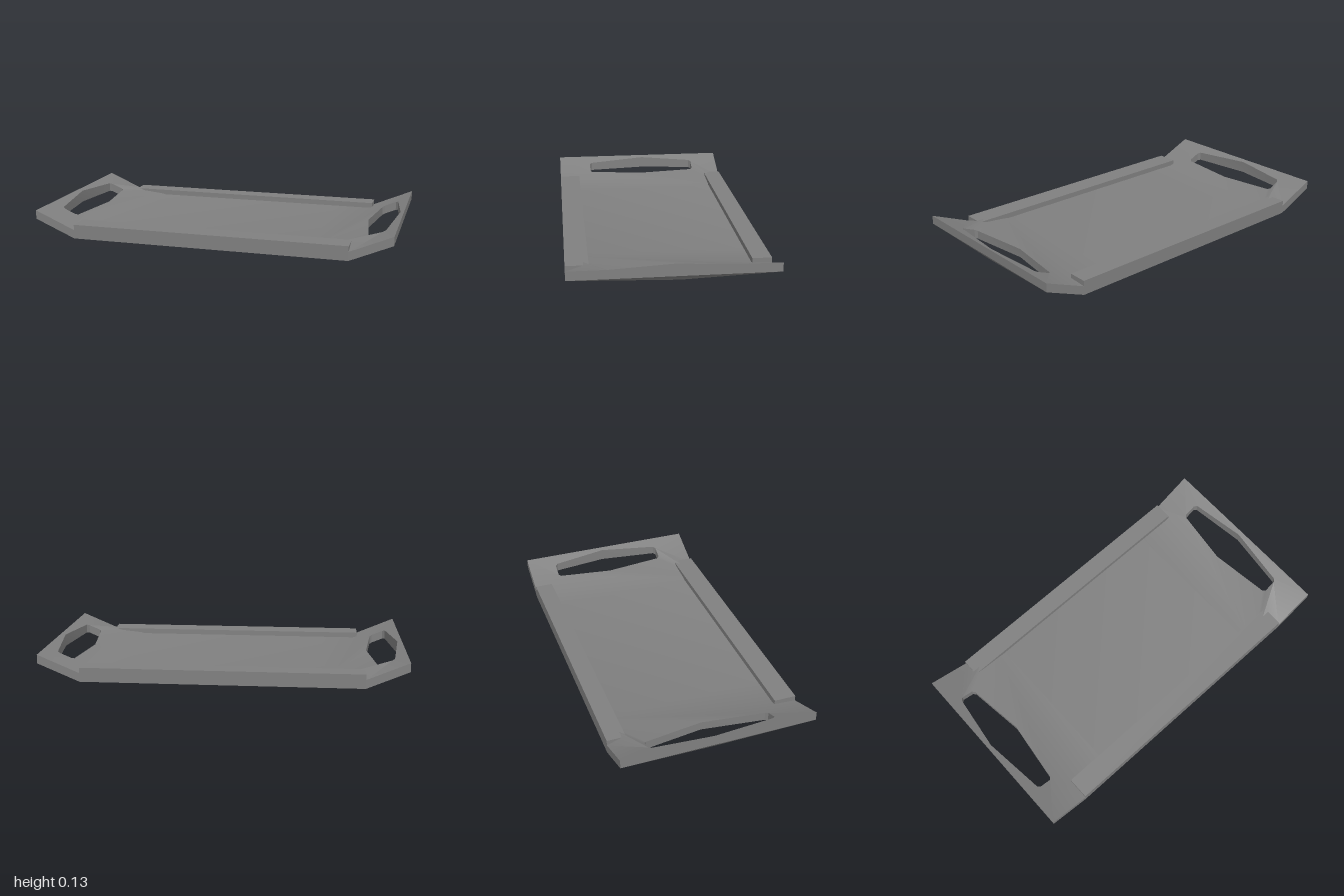
import * as THREE from 'three';
import { mergeGeometries, toCreasedNormals } from 'three/addons/utils/BufferGeometryUtils.js';

const L = 0.899, W = 0.48;      // half length and half width
const BEND = 0.693;             // where the outer edges start to rise
const FLAT = 0.5;               // half length of the fully flat floor
const T = 0.044, RISE = 0.088;  // thickness, lift of the ends

const polygon = pts => pts.map(([u, v]) => new THREE.Vector2(u, -v));

// Height of the underside; the grip hole keeps nearly straight long edges
function lift(u, isTop) {
  const y = Math.max(0, (u - BEND) / (L - BEND)) * RISE;
  const onGrip = u > BEND + 0.01 && u < L - 0.01;
  return onGrip ? THREE.MathUtils.clamp(y, 0.028, isTop ? RISE : 0.062) : y;
}

// Flat slab from a plan outline, counter-clockwise seen from above
function slab(outline, holes = []) {
  const shape = new THREE.Shape(polygon(outline));
  shape.holes = holes.map(h => new THREE.Path(polygon(h)));
  const geo = new THREE.ExtrudeGeometry(shape, { depth: T, bevelEnabled: false });
  return geo.rotateX(-Math.PI / 2);
}

// Grip hole: wide in the middle, narrow at both ends, clipped corners
const grip = [
  [0.759, -0.313], [0.77, -0.325], [0.828, -0.325], [0.841, -0.313],
  [0.879, -0.025],
  [0.841, 0.287], [0.828, 0.299], [0.77, 0.299], [0.759, 0.287],
  [0.72, -0.025],
];

// Sloping handle end; side -1 is turned round to the other end
function handleEnd(side) {
  const outline = [
    [FLAT, W], [BEND, W], [L, W], [L, -W], [BEND, -W], [FLAT, -W],
  ];
  const geo = slab(outline, [grip.map(([u, v]) => [u, side * v])]);
  const p = geo.attributes.position;
  for (let i = 0; i < p.count; i++) {
    p.setY(i, p.getY(i) + lift(p.getX(i), p.getY(i) > T / 2));
  }
  return side < 0 ? geo.rotateY(Math.PI) : geo;
}

export function createModel() {
  const tray = new THREE.Group();
  tray.name = 'tray';
  const material = new THREE.MeshStandardMaterial({ color: 0x808080 });

  // Tray body: flat floor with a handle at each end
  const floor = slab([[-FLAT, W], [FLAT, W], [FLAT, -W], [-FLAT, -W]]);
  const bodyGeometry = mergeGeometries([floor, handleEnd(1), handleEnd(-1)]);
  const body = new THREE.Mesh(toCreasedNormals(bodyGeometry, 0.6), material);
  body.name = 'trayBody';
  tray.add(body);

  // Raised rails along both long sides
  const railHeight = 0.027;
  for (const [name, inner, outer] of [['frontRail', 0.37, W], ['backRail', -0.387, -W]]) {
    const rail = new THREE.Mesh(
      new THREE.BoxGeometry(2 * BEND, railHeight, Math.abs(outer - inner)), material);
    rail.position.set(0, T + railHeight / 2, (inner + outer) / 2);
    rail.name = name;
    tray.add(rail);
  }

  // The tray lies turned on the ground
  tray.rotation.y = THREE.MathUtils.degToRad(16.87);
  const model = new THREE.Group();
  model.name = 'servingTray';
  model.add(tray);
  return model;
}
